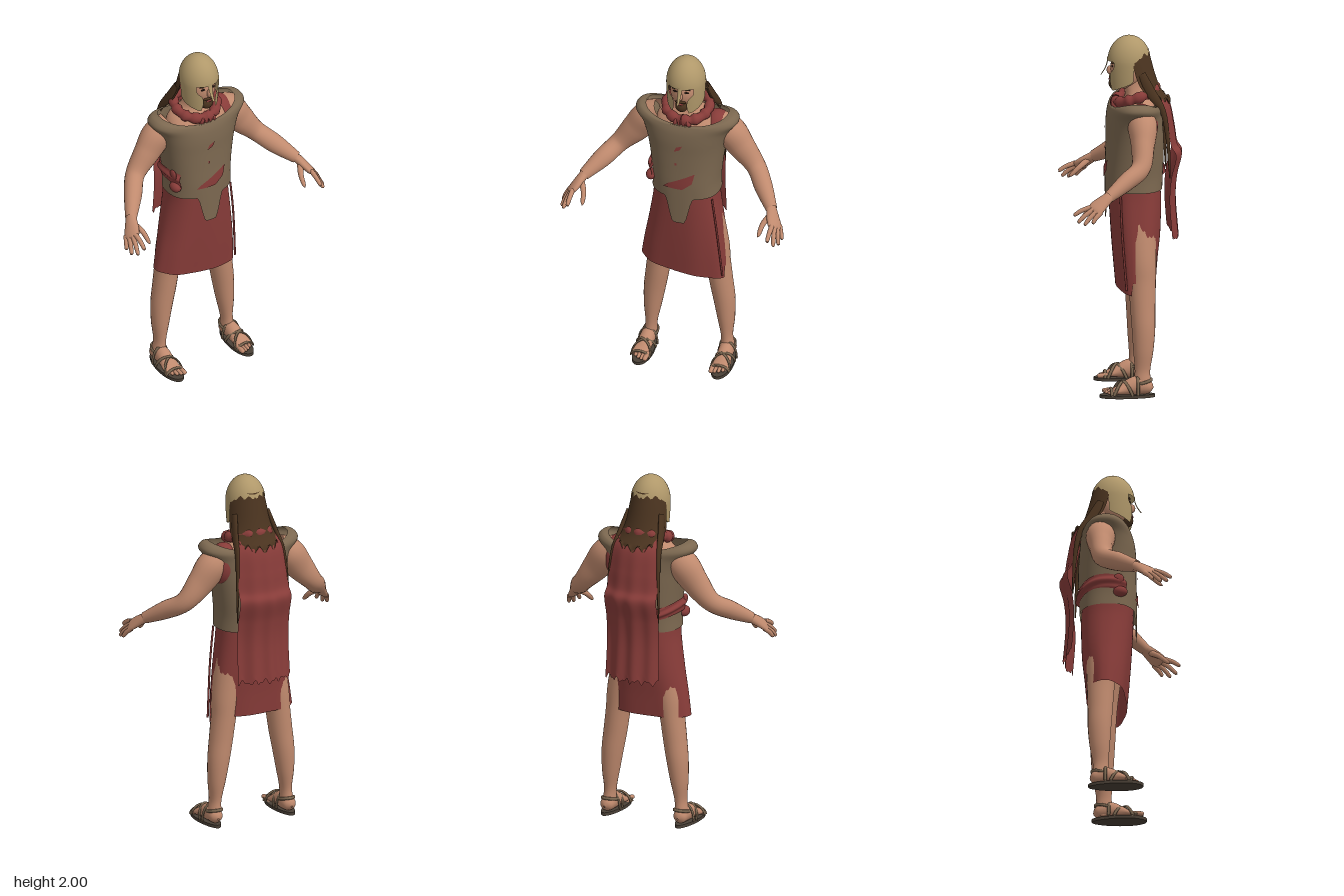
import * as THREE from 'three';
import { mergeVertices } from 'three/addons/utils/BufferGeometryUtils.js';

const mat = (name, color) => new THREE.MeshStandardMaterial({ name, color, side: THREE.DoubleSide });
const { sin, cos, abs, PI, max, min, sign, pow, floor } = Math;
const smooth = THREE.MathUtils.smoothstep;
const lerp = THREE.MathUtils.lerp;

export function createModel() {
  const root = new THREE.Group();
  root.name = 'ancientWarrior';
  const skin = mat('skin', 0xc08a6e), red = mat('red cloth', 0x883c39), leather = mat('brown tunic', 0x7c6850);
  const bronze = mat('bronze', 0xb0986a), hair = mat('dark brown hair', 0x4a331f);
  const strapMat = mat('sandal strap', 0x79654f), soleMat = mat('sandal sole', 0x4a4036), dark = mat('eye', 0x2a1c16);

  const add = (name, geo, m) => {
    const mesh = new THREE.Mesh(geo, m);
    mesh.name = name;
    root.add(mesh);
    return mesh;
  };
  // smooth interpolation through rows of numbers, t in 0..1
  const at = (rows, t) => {
    const n = rows.length - 1, f = t * n, i = min(floor(f), n - 1), w = f - i;
    return rows[i].map((b, k) => {
      const c = rows[i + 1][k], a = rows[max(i - 1, 0)][k], d = rows[min(i + 2, n)][k];
      return 0.5 * (2 * b + (c - a) * w + (2 * a - 5 * b + 4 * c - d) * w * w + (3 * b - a - 3 * c + d) * w ** 3);
    });
  };
  // grid surface from a rule
  const surf = (name, m, nu, nv, fn) => {
    let g = new THREE.PlaneGeometry(1, 1, nu, nv);
    const p = g.attributes.position;
    for (let i = 0; i < p.count; i++) p.setXYZ(i, ...fn((i % (nu + 1)) / nu, floor(i / (nu + 1)) / nv));
    g.deleteAttribute('uv');
    g.deleteAttribute('normal');
    g = mergeVertices(g, 1e-5);
    g.computeVertexNormals();
    return add(name, g, m);
  };
  // tube with elliptical sections, points are [x, y, z, ra, rb]; rb lies along ref
  const limb = (name, m, pts, ref = [0, 0, 1], nu = 16, nv = pts.length * 5) => {
    const R = new THREE.Vector3(...ref), T = new THREE.Vector3(), S = new THREE.Vector3(), U = new THREE.Vector3();
    return surf(name, m, nu, nv, (u, v) => {
      const c = at(pts, v), a = at(pts, max(v - 0.01, 0)), b = at(pts, min(v + 0.01, 1));
      T.set(b[0] - a[0], b[1] - a[1], b[2] - a[2]).normalize();
      S.crossVectors(R, T).normalize();
      U.crossVectors(T, S);
      const p = cos(u * 2 * PI) * max(c[3], 0.0005), q = sin(u * 2 * PI) * max(c[4], 0.0005);
      return [c[0] + S.x * p + U.x * q, c[1] + S.y * p + U.y * q, c[2] + S.z * p + U.z * q];
    });
  };
  const ball = (name, m, pos, size) => {
    const b = add(name, new THREE.SphereGeometry(1, 24, 16), m);
    b.position.set(...pos);
    b.scale.set(...size);
    return b;
  };
  // rounded-box outline
  const E = 0.85, sp = (a) => sign(a) * pow(abs(a), E);
  const outline = (th, rx, zf, zb, cx = 0) => [cx + rx * sp(sin(th)), (zf + zb) / 2 + ((zf - zb) / 2) * sp(cos(th))];

  // sleeveless tunic with a front tongue: [y, half width, front z, back z]
  const tunic = [[1.14, 0.192, 0.102, -0.212], [1.22, 0.19, 0.105, -0.215], [1.32, 0.2, 0.102, -0.22],
    [1.42, 0.215, 0.1, -0.22], [1.5, 0.232, 0.1, -0.215], [1.56, 0.255, 0.095, -0.21],
    [1.615, 0.295, 0.085, -0.205], [1.65, 0.275, 0.078, -0.195], [1.655, 0.235, 0.066, -0.18]];
  surf('tunic', leather, 112, 50, (u, v) => {
    const th = u * 2 * PI, [y, rx, zf, zb] = at(tunic, v), [x, z] = outline(th, rx, zf, zb);
    const tongue = cos(th) > 0 ? 1 - smooth(abs(x + 0.003), 0.03, 0.085) : 0;
    const drop = 0.045 * smooth(v, 0.6, 0.95) * cos(th) ** 2;
    return [x, y - 0.165 * tongue * max(0, 1 - v * 8) - drop, z];
  });
  const tunicAt = (y) => {
    let t = 0;
    while (t < 0.75 && at(tunic, t)[0] < y) t += 0.004;
    return at(tunic, t);
  };
  // red cloth showing through tears, corners in front x, y
  const tear = (c) => surf('tear', red, 10, 6, (u, v) => {
    const q = (k) => lerp(lerp(c[0][k], c[1][k], u), lerp(c[3][k], c[2][k], u), v);
    const x = q(0), y = q(1), [, rx, zf, zb] = tunicAt(y);
    return [x, y, (zf + zb) / 2 + ((zf - zb) / 2) * pow(1 - pow(abs(x / rx), 2 / E), E / 2) + 0.006];
  });
  tear([[-0.095, 1.205], [0.0, 1.245], [0.09, 1.315], [-0.06, 1.235]]);
  tear([[-0.095, 1.205], [0.02, 1.205], [0.075, 1.25], [0.09, 1.315]]);
  tear([[-0.03, 1.45], [0.005, 1.465], [0.02, 1.495], [-0.015, 1.48]]);
  tear([[-0.024, 1.36], [-0.012, 1.36], [-0.012, 1.375], [-0.024, 1.375]]);
  // sash around the right flank and back
  surf('sash', red, 40, 12, (u, v) => {
    const th = -0.95 - u * 2.2, y = 1.255 + 0.02 * sin(u * 5) + (v - 0.5) * lerp(0.09, 0.06, u);
    const [, rx, zf, zb] = tunicAt(y), o = 0.003 + 0.014 * sin(v * PI) + 0.004 * sin(v * 12 + u * 4);
    const [x, z] = outline(th, rx + o, zf + o, zb - o);
    return [x, y, z];
  });
  ball('sashKnot', red, [-0.185, 1.215, 0.02], [0.03, 0.03, 0.04]);
  ball('sashKnot', red, [-0.193, 1.29, 0.01], [0.012, 0.03, 0.03]);

  // wrapped skirt, front panel hangs lower toward the left: [y, centre x, half width, front z, back z]
  const skirt = [[1.18, -0.005, 0.182, 0.085, -0.2], [1.08, -0.003, 0.187, 0.083, -0.205],
    [0.9, -0.005, 0.213, 0.072, -0.2], [0.76, -0.01, 0.233, 0.06, -0.185], [0.64, -0.016, 0.245, 0.047, -0.175]];
  surf('skirt', red, 120, 30, (u, v) => {
    const th = -PI / 2 + u * 2 * PI, [y, cx, rx, zf, zb] = at(skirt, v), fold = 0.003 * v * sin(th * 7);
    const [x, z] = outline(th, rx + fold, zf + fold, zb - fold, cx);
    const front = th < 1.35 ? 0.035 + 0.035 * sin(th) : 0;
    return [x, y - front * v ** 3, z];
  });
  limb('skirtWrapEdge', red, [[0.17, 1.12, 0.03, 0.006, 0.006], [0.195, 0.9, 0.022, 0.006, 0.006], [0.22, 0.6, 0.0, 0.006, 0.006]], [0, 0, 1], 8);

  // chest and neck inside the tunic: [y, half width, front z, back z]
  const chest = [[1.45, 0.17, 0.06, -0.18], [1.56, 0.18, 0.05, -0.175], [1.62, 0.15, 0.02, -0.165],
    [1.66, 0.085, -0.005, -0.14], [1.72, 0.062, 0.0, -0.12], [1.8, 0.06, 0.01, -0.11]];
  surf('neck', skin, 32, 24, (u, v) => {
    const [y, rx, zf, zb] = at(chest, v), [x, z] = outline(u * 2 * PI, rx, zf, zb);
    return [x, y, z];
  });
  ball('undershirt', red, [0.165, 1.52, -0.085], [0.085, 0.125, 0.094]);

  // scarf ring with knots
  const ring = [];
  for (let i = 0; i <= 32; i++) {
    const a = (i / 32) * 2 * PI, r = 0.027 + 0.005 * sin(i * 2.4);
    ring.push([0.122 * sin(a), 1.667 - 0.037 * cos(a), -0.065 + 0.11 * cos(a), r, r * 1.1]);
  }
  limb('scarf', red, ring, [0, 1, 0], 12, 96);
  for (const x of [-0.035, -0.01, 0.015, 0.04]) ball('scarfFold', red, [x, 1.62, 0.055], [0.012, 0.026, 0.02]).rotation.z = x * 8;

  // cape: [y, z, half width]
  const cape = [[1.71, -0.175, 0.11], [1.63, -0.25, 0.14], [1.5, -0.28, 0.15], [1.4, -0.295, 0.155],
    [1.34, -0.322, 0.16], [1.22, -0.295, 0.16], [1.08, -0.285, 0.16], [0.87, -0.3, 0.163]];
  surf('cape', red, 48, 60, (u, v) => {
    const s = u * 2 - 1, [y, z, w] = at(cape, v);
    const edge = v > 0.97 ? 0.01 * sin(s * 17) + 0.008 * sin(s * 31) : 0;
    return [s * w, y + edge, z + 0.045 * s * s + 0.007 * v * sin(s * 10)];
  });

  // head, face and beard
  ball('head', skin, [0, 1.81, -0.02], [0.085, 0.115, 0.095]);
  ball('nose', skin, [0, 1.805, 0.077], [0.013, 0.025, 0.018]);
  ball('beard', hair, [0, 1.73, 0.05], [0.036, 0.036, 0.034]);
  ball('moustache', hair, [0, 1.766, 0.068], [0.032, 0.008, 0.012]);
  ball('mouth', red, [0, 1.754, 0.075], [0.016, 0.005, 0.01]);

  // helmet shell with a raised jagged rear rim
  const helm = (th, y) => {
    const k = y > 1.85 ? Math.sqrt(max(0, 1 - ((y - 1.85) / 0.15) ** 2)) : 1 - 1.6 * (1.85 - y) ** 1.6;
    return [0.109 * k * sin(th), y, -0.03 + 0.121 * k * cos(th)];
  };
  surf('helmetDome', bronze, 72, 20, (u, v) => {
    const th = (u * 2 - 1) * PI, a = abs(th);
    const rim = 1.862 + 0.04 * smooth(a, 1.7, 2.3) + (a > 2 ? 0.009 * sin(a * 14) : 0);
    return helm(th, 1.85 + 0.15 * sin(lerp(Math.asin((rim - 1.85) / 0.15), PI / 2, v)));
  });
  surf('noseGuard', bronze, 6, 10, (u, v) => [(u - 0.5) * lerp(0.03, 0.012, v), 1.875 - 0.095 * v, 0.088 + 0.038 * v * v + 0.004 * sin(u * PI)]);

  // cheek guards: [y, front angle, back angle]
  const cheek = [[1.865, 0.72, 1.76], [1.825, 0.7, 1.74], [1.79, 0.42, 1.7], [1.745, 0.37, 1.62], [1.7, 0.48, 0.62]];
  for (const s of [1, -1]) {
    surf('cheekGuard', bronze, 16, 24, (u, v) => {
      const [y, f, b] = at(cheek, v);
      return helm(s * lerp(f, b, u), y);
    });
    ball('eye', dark, [s * 0.032, 1.832, 0.066], [0.014, 0.005, 0.005]);
    ball('eyebrow', hair, [s * 0.034, 1.85, 0.064], [0.02, 0.004, 0.006]);
    // long locks beside the cape
    limb('hairLock', hair, [[s * 0.1, 1.8, -0.09, 0.014, 0.025], [s * 0.122, 1.7, -0.14, 0.014, 0.03], [s * 0.14, 1.6, -0.205, 0.012, 0.018],
      [s * 0.152, 1.45, -0.232, 0.009, 0.012], [s * 0.16, 1.22, -0.245, 0.003, 0.004]], [0, 0, 1], 10);
  }
  // hair over the back: [y, half width, depth, centre z]
  const mane = [[1.925, 0.09, 0.106, -0.03], [1.86, 0.106, 0.12, -0.032], [1.76, 0.118, 0.125, -0.055],
    [1.69, 0.13, 0.125, -0.085], [1.63, 0.138, 0.12, -0.14]];
  surf('hair', hair, 56, 24, (u, v) => {
    const [y, rx, rz, cz] = at(mane, v), th = lerp(1.65, 2 * PI - 1.65, u);
    return [rx * sin(th), y - (v > 0.95 ? 0.018 * sin(u * 40) : 0) + 0.04 * v * v * (1 - sin(u * PI)), cz + rz * cos(th)];
  });

  for (const s of [1, -1]) {
    const mir = (pts) => pts.map(([x, ...r]) => [s * x, ...r]);
    // arm and hand
    limb('arm', skin, mir([[0.16, 1.585, -0.085, 0.06, 0.065], [0.235, 1.525, -0.088, 0.088, 0.082], [0.305, 1.435, -0.083, 0.08, 0.066],
      [0.395, 1.33, -0.065, 0.056, 0.054], [0.468, 1.265, 0.025, 0.053, 0.048], [0.545, 1.2, 0.125, 0.033, 0.032]]), [0, 0, 1], 20, 36);
    limb('palm', skin, mir([[0.53, 1.212, 0.105, 0.025, 0.03], [0.55, 1.193, 0.135, 0.025, 0.034], [0.575, 1.16, 0.18, 0.022, 0.045],
      [0.592, 1.138, 0.205, 0.017, 0.045], [0.6, 1.128, 0.218, 0.004, 0.03]]), [s * 0.5, -0.3, -0.8]);
    const tips = [[0.58, 1.11, 0.32], [0.61, 1.075, 0.3], [0.63, 1.065, 0.265], [0.636, 1.075, 0.22]];
    tips.forEach((t, i) => {
      const w = i / 3, k = [lerp(0.578, 0.607, w), lerp(1.155, 1.13, w), lerp(0.225, 0.17, w)];
      const m = k.map((a, j) => lerp(a, t[j], 0.55) + (j === 1 ? 0.006 : 0)), e = k.map((a, j) => lerp(a, t[j], 0.94));
      limb('finger', skin, mir([[...k, 0.014, 0.014], [...m, 0.013, 0.013], [...e, 0.01, 0.01], [...t, 0.001, 0.001]]), [1, 0, 0], 10, 12);
    });
    limb('thumb', skin, mir([[0.55, 1.18, 0.155, 0.018, 0.018], [0.521, 1.145, 0.205, 0.015, 0.015],
      [0.512, 1.105, 0.25, 0.011, 0.011], [0.51, 1.093, 0.268, 0.001, 0.001]]), [1, 0, 0], 10);

    // leg and foot
    limb('leg', skin, mir([[0.11, 0.95, -0.07, 0.09, 0.1], [0.15, 0.75, -0.085, 0.08, 0.085], [0.168, 0.63, -0.09, 0.069, 0.076],
      [0.185, 0.5, -0.092, 0.066, 0.07], [0.202, 0.38, -0.095, 0.061, 0.065], [0.213, 0.26, -0.093, 0.049, 0.056],
      [0.219, 0.15, -0.088, 0.033, 0.043], [0.224, 0.08, -0.088, 0.037, 0.046], [0.225, 0.03, -0.088, 0.03, 0.04]]), [0, 0, 1], 20);
    limb('foot', skin, mir([[0.228, 0.05, -0.147, 0.004, 0.005], [0.228, 0.055, -0.125, 0.036, 0.036], [0.227, 0.066, -0.06, 0.042, 0.053],
      [0.229, 0.054, 0, 0.044, 0.04], [0.232, 0.04, 0.05, 0.05, 0.023], [0.23, 0.032, 0.09, 0.046, 0.012]]), [0, 1, 0], 20);
    for (let i = 0; i < 5; i++) {
      const x = 0.192 + i * 0.0205, z = 0.135 - 0.003 * i * i, r = i ? 0.01 : 0.014;
      limb('toe', skin, mir([[x, 0.033, 0.06, r, r], [x, 0.032, z - 0.025, r, r], [x, 0.03, z - 0.006, r * 0.85, r * 0.8], [x, 0.028, z, 0.001, 0.001]]), [0, 1, 0], 10, 12);
    }
    // sandal
    const sole = new THREE.CylinderGeometry(1, 1, 0.018, 40), p = sole.attributes.position;
    for (let i = 0; i < p.count; i++) p.setX(i, p.getX(i) * (0.054 + 0.008 * p.getZ(i)));
    sole.scale(1, 1, 0.153);
    sole.translate(s * 0.23, 0.009, -0.003);
    sole.computeVertexNormals();
    add('sandalSole', sole, soleMat);
    for (const [z1, z2, h] of [[-0.03, 0.075, 0.072], [0.075, -0.03, 0.075], [0.09, 0.085, 0.035], [-0.06, -0.06, 0.1]]) {
      const arc = [];
      for (let i = 0; i <= 8; i++) {
        const a = (i / 8) * PI;
        arc.push([0.23 - 0.055 * cos(a), 0.018 + h * sin(a), lerp(z1, z2, i / 8), 0.005, 0.009]);
      }
      limb('sandalStrap', strapMat, mir(arc), [0, 0, 1], 8, 24);
    }
    const cuff = add('ankleStrap', new THREE.TorusGeometry(0.046, 0.007, 8, 28), strapMat);
    cuff.rotation.x = PI / 2 + 0.25;
    cuff.scale.set(0.9, 1.1, 1.3);
    cuff.position.set(s * 0.224, 0.085, -0.088);
  }
  return root;
}
